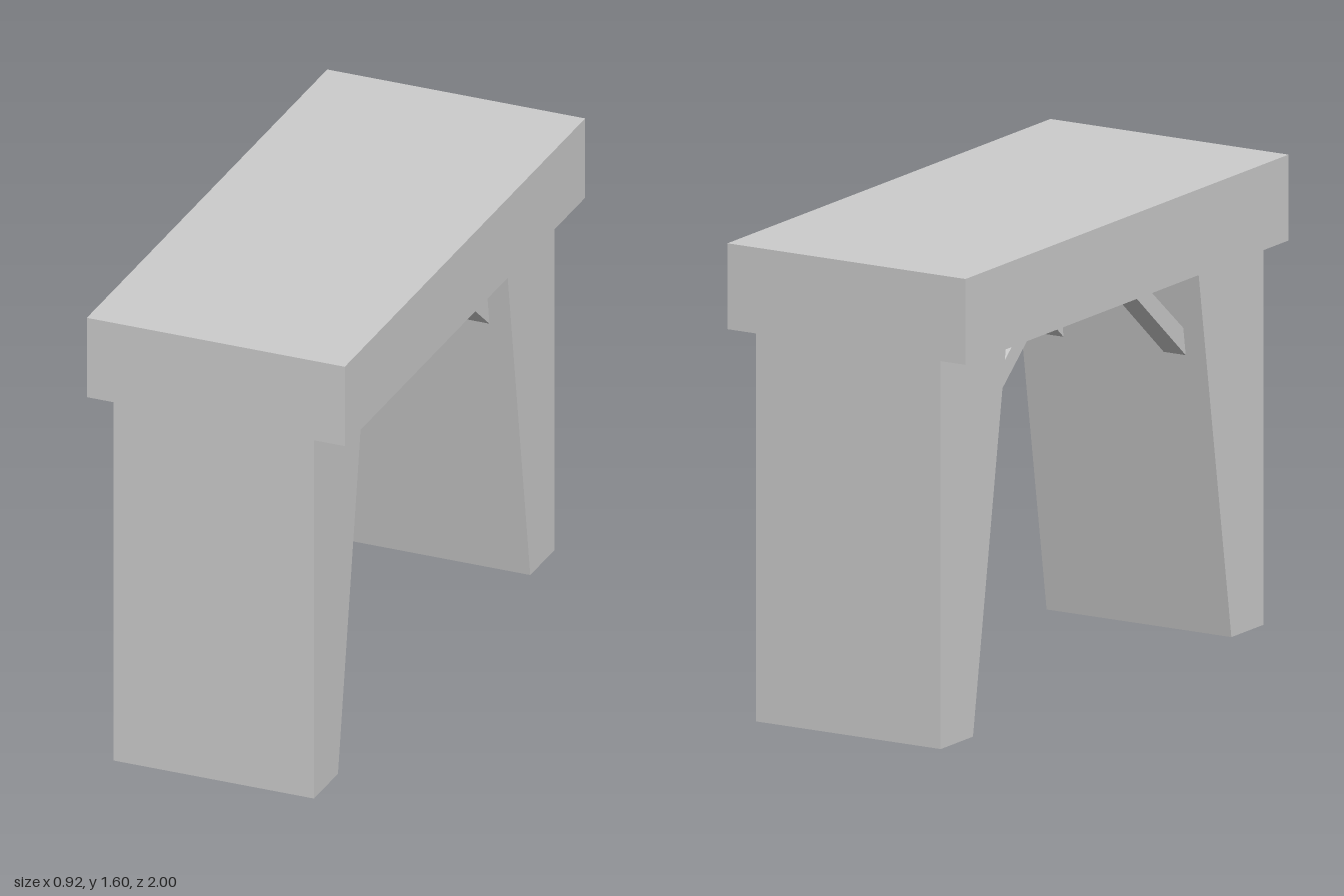
import * as THREE from 'three';

export function createModel() {
  const grey = new THREE.MeshStandardMaterial({ color: 0xcccccc, side: THREE.DoubleSide });
  grey.name = 'light grey';
  const model = new THREE.Group();
  model.name = 'bench';

  function add(parent, geometry, name) {
    const mesh = new THREE.Mesh(geometry, grey);
    mesh.name = name;
    parent.add(mesh);
  }

  // Thick slab across the top
  add(model, new THREE.BoxGeometry(0.92, 0.29, 2).translate(0, 1.455, 0), 'topSlab');

  // Hollow tapered leg, open at top and bottom, wider towards the slab
  function legGeometry() {
    let geo = new THREE.BoxGeometry(0.714, 1.31, 0.2).translate(0, 0.655, 0.9);
    const pos = geo.attributes.position;
    for (let i = 0; i < pos.count; i++) {
      if (pos.getY(i) > 1 && pos.getZ(i) < 0.9) pos.setZ(i, 0.59);
    }
    const index = Array.from(geo.index.array);
    geo.setIndex([...index.slice(0, 12), ...index.slice(24)]);
    geo.clearGroups();
    geo = geo.toNonIndexed();
    geo.computeVertexNormals();
    return geo;
  }

  // Diagonal brace from the leg's inner face up to the slab
  const braceWidth = 0.085;
  const braceShape = new THREE.Shape([[0.643, 0.975], [0.628, 1.07], [0.335, 1.31], [0.243, 1.31]]
    .map(([z, y]) => new THREE.Vector2(z, y)));
  const braceGeo = new THREE.ExtrudeGeometry(braceShape, { depth: braceWidth, bevelEnabled: false })
    .rotateY(-Math.PI / 2).translate(braceWidth / 2, 0, 0);

  // The same leg and pair of braces at each end
  [['front', 0], ['back', Math.PI]].forEach(([end, turn]) => {
    const support = new THREE.Group();
    support.name = end + 'Support';
    support.position.x = -0.007;
    support.rotation.y = turn;
    add(support, legGeometry(), end + 'Leg');
    for (const x of [-0.236, 0.236]) {
      add(support, braceGeo.clone().translate(x, 0, 0), end + 'Brace');
    }
    model.add(support);
  });

  return model;
}
